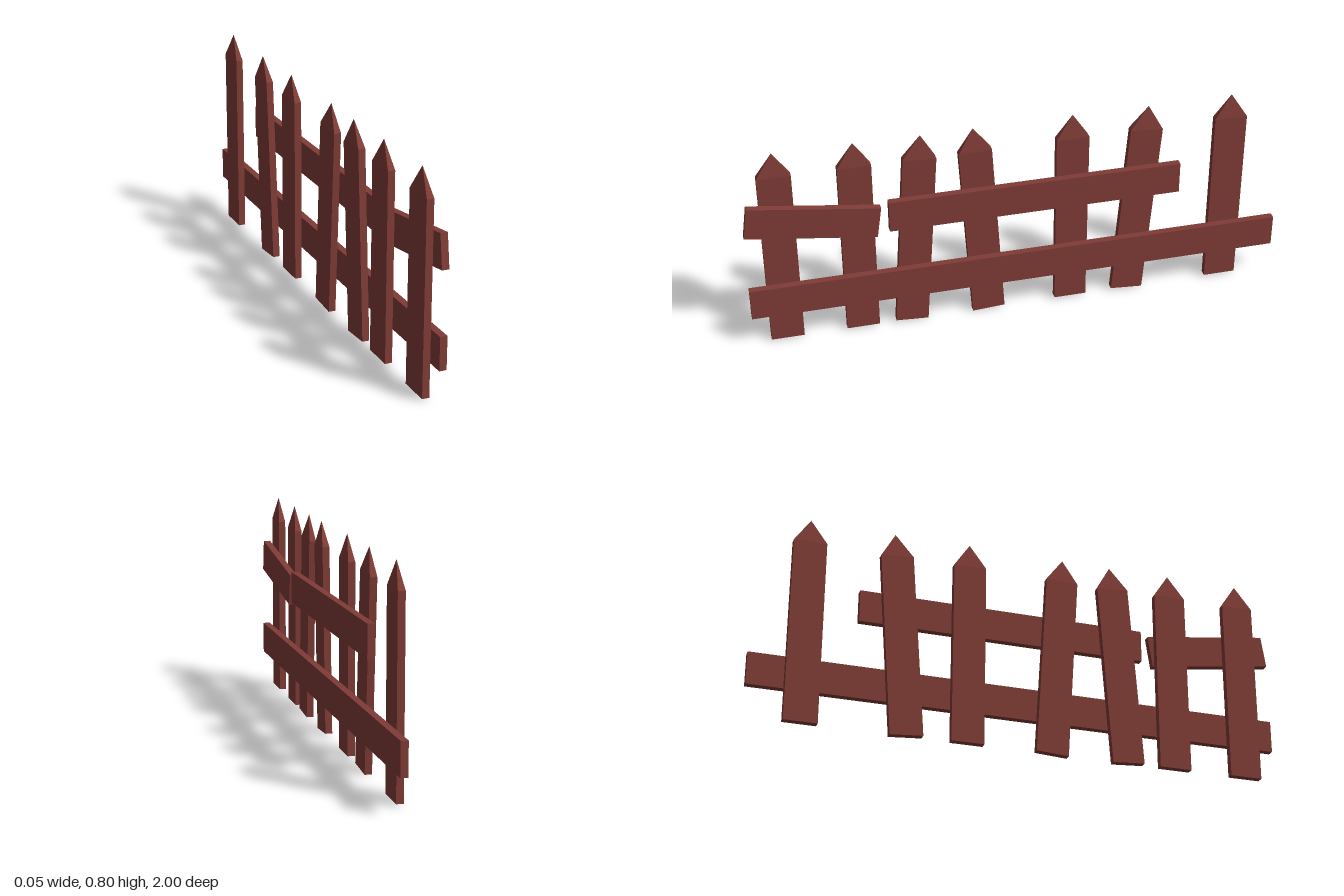
import * as THREE from 'three';

const BOARD = 0.122;   // board width
const THICK = 0.0265;  // board thickness
const deg = THREE.MathUtils.degToRad;

// Square post with a pyramid tip, origin at the middle of its base
function picketGeometry(shoulder, height) {
  const r = Math.SQRT1_2;
  const profile = [[0, 0], [r, 0], [r, shoulder], [0, height]].map(([x, y]) => new THREE.Vector2(x, y));
  const geo = new THREE.LatheGeometry(profile, 4, Math.PI / 4).toNonIndexed();
  geo.scale(THICK, 1, BOARD);
  geo.computeVertexNormals();
  return geo;
}

export function createModel() {
  const fence = new THREE.Group();
  fence.name = 'picketFence';
  const wood = new THREE.MeshStandardMaterial({ color: 0x803c36 });
  wood.name = 'redBrownWood';

  // Pickets: z of the base, lean in degrees
  const pickets = [
    [0.874, 0], [0.591, 0], [0.406, -4], [0.112, 3.5],
    [-0.206, 0], [-0.43, -4.4], [-0.807, 0],
  ];
  const picketGeo = picketGeometry(0.701, 0.794);
  pickets.forEach(([z, lean], i) => {
    const picket = new THREE.Mesh(picketGeo, wood);
    picket.name = `picket${i + 1}`;
    picket.position.set(-THICK / 2, lean ? 0.0045 : 0.006, z);
    picket.rotation.x = deg(lean);
    fence.add(picket);
  });

  // Rails: name, centre y, centre z, length, tilt in degrees
  const rails = [
    ['lowerRail', 0.193, 0, 2, 0],
    ['upperRail', 0.494, -0.066, 1.09, 0],
    ['brokenUpperRail', 0.512, 0.753, 0.48, -8.2],
  ];
  for (const [name, y, z, length, tilt] of rails) {
    const rail = new THREE.Mesh(new THREE.BoxGeometry(THICK, BOARD, length), wood);
    rail.name = name;
    rail.position.set(THICK / 2, y, z);
    rail.rotation.x = deg(tilt);
    fence.add(rail);
  }
  return fence;
}
